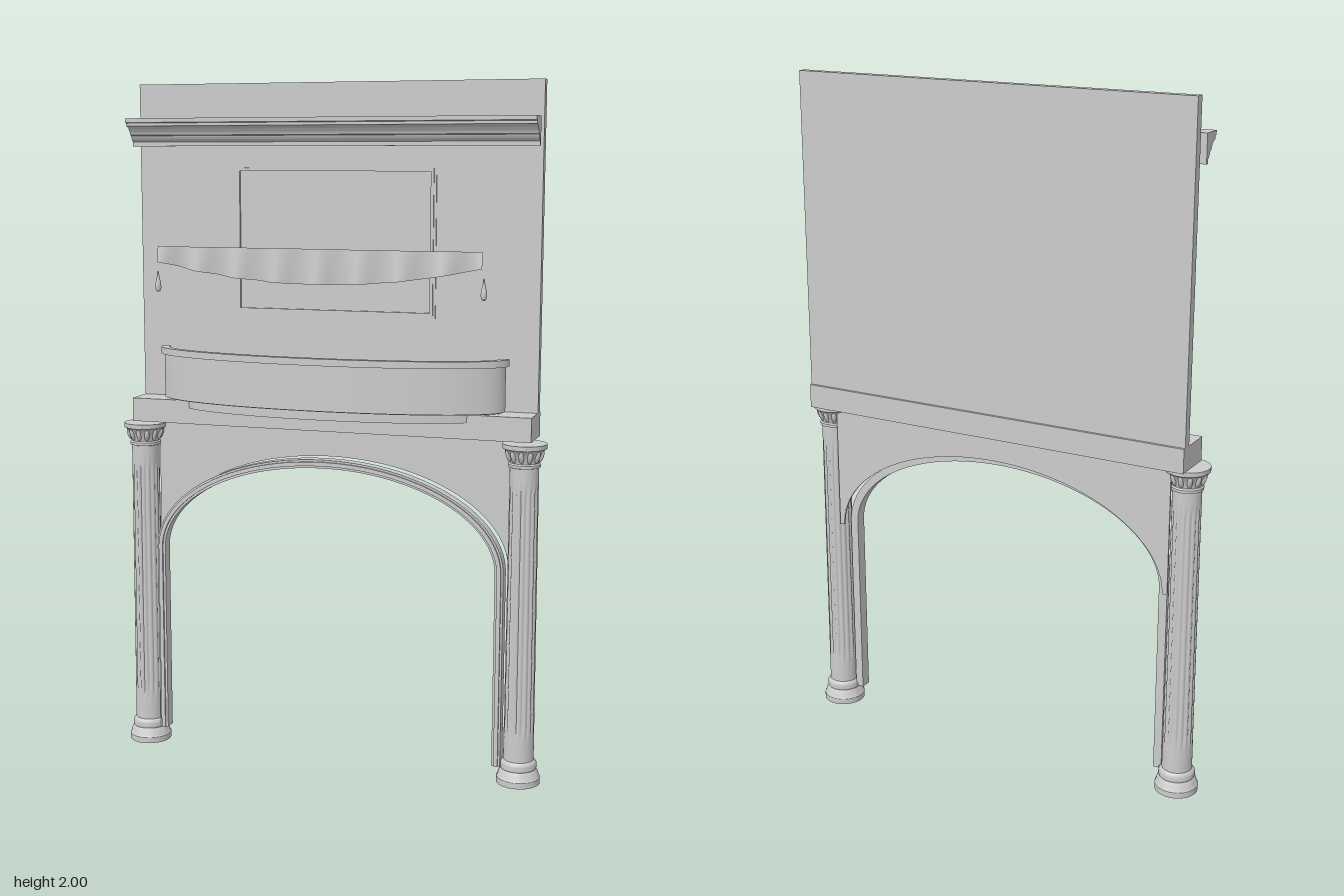
import * as THREE from 'three';
import { toCreasedNormals } from 'three/addons/utils/BufferGeometryUtils.js';

const stone = new THREE.MeshStandardMaterial({ color: 0xcccccc });
stone.name = 'pale stone';
const cloth = new THREE.MeshStandardMaterial({ color: 0xcccccc, side: THREE.DoubleSide });
cloth.name = 'pale cloth';

function add(parent, name, geometry, x = 0, y = 0, z = 0, material = stone) {
  const mesh = new THREE.Mesh(geometry, material);
  mesh.name = name;
  mesh.position.set(x, y, z);
  parent.add(mesh);
  return mesh;
}

function extrude(shape, depth) {
  const geo = new THREE.ExtrudeGeometry(shape, { depth, bevelEnabled: false, curveSegments: 48 });
  return toCreasedNormals(geo, 0.5);
}

function rectangle(x, y0, y1, Type = THREE.Shape) {
  const s = new Type();
  s.moveTo(-x, y0).lineTo(x, y0).lineTo(x, y1).lineTo(-x, y1).closePath();
  return s;
}

// Box given by its limits
function box(parent, name, x, y0, y1, z0, z1) {
  add(parent, name, new THREE.BoxGeometry(2 * x, y1 - y0, z1 - z0), 0, (y0 + y1) / 2, (z0 + z1) / 2);
}

// Half-elliptical tray slice, seen from above; an inner ellipse makes it a band
function halfEllipse(parent, name, a, b, y0, y1, inner) {
  const s = new THREE.Shape();
  s.absellipse(0, 0, a, b, 0, Math.PI, false);
  if (inner) s.absellipse(0, 0, inner[0], inner[1], Math.PI, 0, true);
  s.closePath();
  add(parent, name, extrude(s, y1 - y0).rotateX(Math.PI / 2), 0, y1, -0.05);
}

// Arched strip with straight legs
function archBand(parent, name, outer, inner, z0, z1) {
  const foot = 0.05, spring = 0.62;
  const s = new THREE.Shape();
  s.moveTo(outer[0], foot).lineTo(outer[0], spring);
  s.absellipse(0, spring, outer[0], outer[1] - spring, 0, Math.PI, false);
  s.lineTo(-outer[0], foot).lineTo(-inner[0], foot).lineTo(-inner[0], spring);
  s.absellipse(0, spring, inner[0], inner[1] - spring, Math.PI, 0, true);
  s.lineTo(inner[0], foot).closePath();
  add(parent, name, extrude(s, z1 - z0), 0, 0, z0);
}

function lathe(points, segments = 40) {
  const geo = new THREE.LatheGeometry(points.map(p => new THREE.Vector2(...p)), segments);
  return toCreasedNormals(geo, 0.6);
}

// Shaft whose flutes fade out near both ends
function flutedShaft() {
  const geo = new THREE.CylinderGeometry(0.041, 0.044, 0.88, 96, 32, true);
  const p = geo.attributes.position;
  for (let i = 0; i < p.count; i++) {
    const y = p.getY(i) + 0.5;
    if (y < 0.16 || y > 0.86) continue;
    const angle = Math.atan2(p.getZ(i), p.getX(i));
    const k = 1 - 0.09 * Math.max(0, Math.cos(16 * angle));
    p.setX(i, p.getX(i) * k);
    p.setZ(i, p.getZ(i) * k);
  }
  geo.computeVertexNormals();
  return geo;
}

function column(parent, name, x) {
  const g = new THREE.Group();
  g.name = name;
  g.position.set(x, 0, -0.027);
  parent.add(g);
  add(g, 'columnBase', lathe([[0, 0], [0.063, 0], [0.063, 0.018], [0.06, 0.022], [0.057, 0.035],
    [0.051, 0.044], [0.053, 0.05], [0.053, 0.06], [0.048, 0.068], [0.043, 0.072]]));
  add(g, 'flutedShaft', flutedShaft(), 0, 0.5, 0);
  add(g, 'capital', lathe([[0.04, 0.93], [0.046, 0.932], [0.046, 0.94], [0.042, 0.944], [0.045, 0.962],
    [0.055, 0.98], [0.063, 0.985], [0.063, 0.998], [0, 0.998]]));
  const leaf = new THREE.SphereGeometry(1, 8, 6).scale(0.008, 0.019, 0.006);
  for (let i = 0; i < 12; i++) {
    const t = i * Math.PI / 6;
    const m = add(g, 'capitalLeaf', leaf, 0.048 * Math.sin(t), 0.963, 0.048 * Math.cos(t));
    m.rotation.set(0.35, t, 0, 'YXZ');
  }
}

export function createModel() {
  const model = new THREE.Group();
  model.name = 'archedFacade';

  // Upper wall and ledge
  box(model, 'backWall', 0.607, 1.07, 2, -0.11, -0.084);
  box(model, 'ledge', 0.607, 1.005, 1.075, -0.118, 0.007);

  // Cornice swept along x
  const profile = new THREE.Shape();
  profile.moveTo(-0.04, 1.82).lineTo(-0.031, 1.82).lineTo(-0.031, 1.832);
  profile.quadraticCurveTo(-0.022, 1.838, -0.018, 1.85);
  profile.lineTo(-0.012, 1.852).quadraticCurveTo(-0.004, 1.875, 0.014, 1.878);
  profile.lineTo(0.014, 1.886).lineTo(0.021, 1.888).lineTo(0.021, 1.9).lineTo(-0.04, 1.9).closePath();
  add(model, 'cornice', extrude(profile, 1.214).rotateY(-Math.PI / 2), 0.607, 0, 0);

  // Stepped picture frame
  for (const [inset, depth] of [[0, 0.004], [0.007, 0.008]]) {
    const s = rectangle(0.305 - inset, 1.333 + inset, 1.765 - inset);
    s.holes.push(rectangle(0.289, 1.349, 1.749, THREE.Path));
    add(model, 'wallFrame', extrude(s, depth), 0, 0, -0.0845);
  }

  // Rippled valance with a curved lower edge
  const drape = new THREE.PlaneGeometry(0.96, 1, 120, 6);
  const p = drape.attributes.position;
  for (let i = 0; i < p.count; i++) {
    const x = p.getX(i), v = 0.5 - p.getY(i);
    const drop = 0.1 - 0.055 * (x / 0.48) ** 2;
    p.setY(i, 1.535 - v * drop);
    p.setZ(i, 0.082 + (0.004 + 0.008 * v) * Math.cos(x * 52));
  }
  drape.computeVertexNormals();
  add(model, 'valance', drape, 0, 0, 0, cloth);

  // Balcony tray
  halfEllipse(model, 'balconyBase', 0.46, 0.145, 1.052, 1.084);
  halfEllipse(model, 'balconyFloor', 0.515, 0.155, 1.078, 1.086);
  halfEllipse(model, 'balconyFront', 0.52, 0.16, 1.08, 1.215, [0.508, 0.148]);
  halfEllipse(model, 'balconyRim', 0.53, 0.166, 1.21, 1.23, [0.504, 0.144]);

  // Spandrel panel behind the arch trim
  const panel = new THREE.Shape();
  panel.moveTo(0.55, 0.62).lineTo(0.55, 1.006).lineTo(-0.55, 1.006).lineTo(-0.55, 0.62).lineTo(-0.535, 0.62);
  panel.absellipse(0, 0.62, 0.535, 0.3, Math.PI, 0, true);
  panel.closePath();
  add(model, 'spandrelPanel', extrude(panel, 0.006), 0, 0, -0.066);
  archBand(model, 'archTrim', [0.535, 0.92], [0.51, 0.895], -0.03, 0.004);
  archBand(model, 'archTrimBead', [0.529, 0.914], [0.517, 0.902], 0.002, 0.01);

  // Columns and hanging drops, mirrored
  for (const [side, sign] of [['left', 1], ['right', -1]]) {
    column(model, side + 'Column', sign * 0.583);
    add(model, side + 'Drop', lathe([[0, 1.403], [0.006, 1.406], [0.009, 1.416], [0.008, 1.428],
      [0.004, 1.446], [0.002, 1.462], [0, 1.464]], 16), sign * 0.483, 0, 0.081);
  }
  return model;
}
